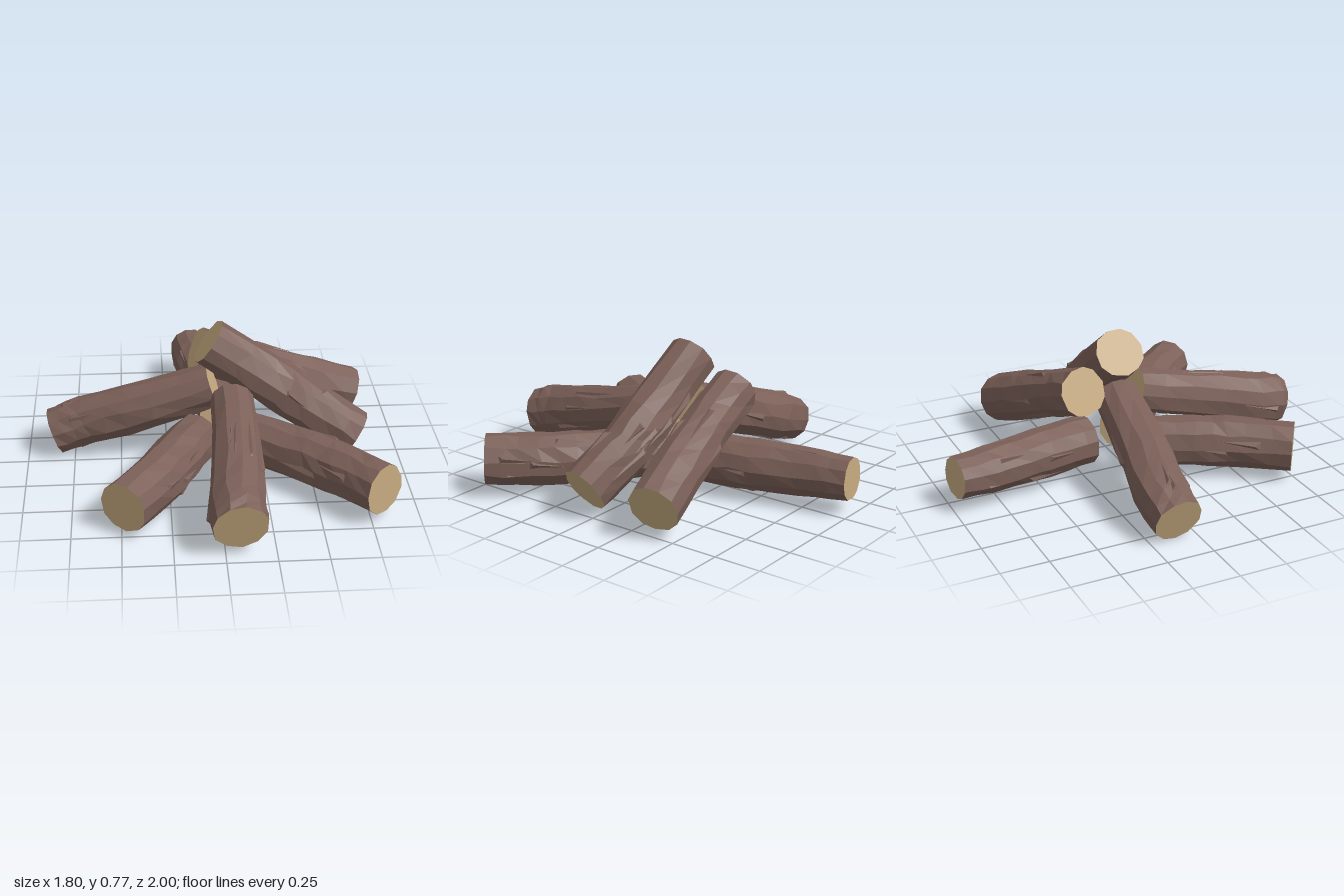
import * as THREE from 'three';

const SIDES = 11;
const RINGS = 9;

// Each log: spine points [x, y, z, radius] from one cut end to the other
const LOGS = {
  topRightLog: [[-0.025, 0.68, -0.04, 0.132], [0.33, 0.43, -0.02, 0.14], [0.52, 0.295, 0.0, 0.138], [0.755, 0.15, 0.045, 0.132]],
  backRightLog: [[-0.075, 0.52, -0.27, 0.13], [0.2, 0.41, -0.3, 0.128], [0.5, 0.285, -0.355, 0.137], [0.785, 0.172, -0.412, 0.135]],
  leftLog: [[-0.855, 0.13, -0.12, 0.128], [-0.7, 0.185, -0.125, 0.138], [-0.4, 0.285, -0.08, 0.136], [0.0, 0.425, -0.045, 0.12]],
  frontLog: [[0.07, 0.185, 0.965, 0.142], [0.06, 0.215, 0.85, 0.15], [0.085, 0.285, 0.55, 0.132], [0.09, 0.4, 0.1, 0.118]],
  frontLeftLog: [[-0.49, 0.18, 0.75, 0.134], [-0.3, 0.185, 0.48, 0.138], [-0.2, 0.185, 0.29, 0.138], [-0.09, 0.18, 0.08, 0.13]],
  frontRightLog: [[0.81, 0.185, 0.675, 0.134], [0.65, 0.18, 0.49, 0.138], [0.48, 0.175, 0.32, 0.14], [0.11, 0.18, 0.04, 0.132]],
  backLog: [[-0.09, 0.19, -0.982, 0.112], [-0.055, 0.185, -0.75, 0.125], [0.015, 0.18, -0.45, 0.137], [0.06, 0.18, -0.2, 0.135]],
};

function seeded(seed) {
  let s = seed;
  return () => {
    s = (s * 16807) % 2147483647;
    return s / 2147483647;
  };
}

function toMesh(name, positions, material) {
  const geometry = new THREE.BufferGeometry();
  geometry.setAttribute('position', new THREE.Float32BufferAttribute(positions, 3));
  geometry.computeVertexNormals(); // unshared corners give flat facets
  const mesh = new THREE.Mesh(geometry, material);
  mesh.name = name;
  return mesh;
}

function makeLog(name, spine, seed, bark, wood) {
  const rand = seeded(seed);
  const curve = new THREE.CatmullRomCurve3(spine.map(([x, y, z]) => new THREE.Vector3(x, y, z)));
  const radiusAt = (t) => {
    const f = t * (spine.length - 1);
    const i = Math.min(Math.floor(f), spine.length - 2);
    return THREE.MathUtils.lerp(spine[i][3], spine[i + 1][3], f - i);
  };
  const up = new THREE.Vector3(0, 1, 0);
  const surfacePoint = (t, angle, scale) => {
    const tangent = curve.getTangent(t);
    const n = new THREE.Vector3().crossVectors(up, tangent).normalize();
    const b = new THREE.Vector3().crossVectors(tangent, n);
    const r = radiusAt(t) * scale;
    return curve.getPoint(t).addScaledVector(n, Math.cos(angle) * r).addScaledVector(b, Math.sin(angle) * r);
  };

  // Rough bark rings: each strip keeps its own bulge, with small knots along it
  const strip = Array.from({ length: SIDES }, () => [rand() * 0.06 - 0.04, rand() * 0.16]);
  const rings = [];
  for (let i = 0; i < RINGS; i++) {
    const end = i === 0 || i === RINGS - 1;
    rings.push(strip.map(([bulge, twist], j) => {
      const t = end ? i / (RINGS - 1) : (i + (rand() - 0.5) * 0.5) / (RINGS - 1);
      const angle = ((j + twist + (rand() - 0.5) * 0.2) / SIDES) * Math.PI * 2;
      return surfacePoint(t, angle, 1 + bulge + (end ? 0 : (rand() - 0.5) * 0.08));
    }));
  }

  const barkPos = [];
  const woodPos = [];
  const tri = (out, ...points) => points.forEach((p) => out.push(p.x, p.y, p.z));
  const first = rings[0];
  const last = rings[RINGS - 1];
  const startCentre = curve.getPoint(0);
  const endCentre = curve.getPoint(1);
  for (let j = 0; j < SIDES; j++) {
    const k = (j + 1) % SIDES;
    for (let i = 0; i < RINGS - 1; i++) {
      const a = rings[i][j], b = rings[i][k], c = rings[i + 1][k], d = rings[i + 1][j];
      tri(barkPos, a, b, c);
      tri(barkPos, a, c, d);
    }
    tri(woodPos, startCentre, first[k], first[j]);
    tri(woodPos, endCentre, last[j], last[k]);
  }

  // Long splinters of bark lifting off the surface
  for (let s = 0; s < 7; s++) {
    const t = 0.1 + rand() * 0.55;
    const angle = rand() * Math.PI * 2;
    const tip = surfacePoint(t + 0.2 + rand() * 0.1, angle + 0.1, 0.94);
    const left = surfacePoint(t, angle - 0.14, 0.93);
    const right = surfacePoint(t, angle + 0.2, 0.93);
    const ridge = surfacePoint(t + 0.03, angle, 1.05);
    tri(barkPos, left, ridge, tip);
    tri(barkPos, ridge, right, tip);
    tri(barkPos, left, right, ridge);
  }

  const log = new THREE.Group();
  log.name = name;
  log.add(toMesh('bark', barkPos, bark), toMesh('cutEnds', woodPos, wood));
  return log;
}

export function createModel() {
  const bark = new THREE.MeshStandardMaterial({ color: 0x7b6058 });
  bark.name = 'barkBrown';
  const wood = new THREE.MeshStandardMaterial({ color: 0xc6aa80 });
  wood.name = 'cutWoodCream';

  const model = new THREE.Group();
  model.name = 'logPile';
  Object.entries(LOGS).forEach(([name, spine], i) => {
    model.add(makeLog(name, spine, 1237 + i * 7919, bark, wood));
  });
  return model;
}
